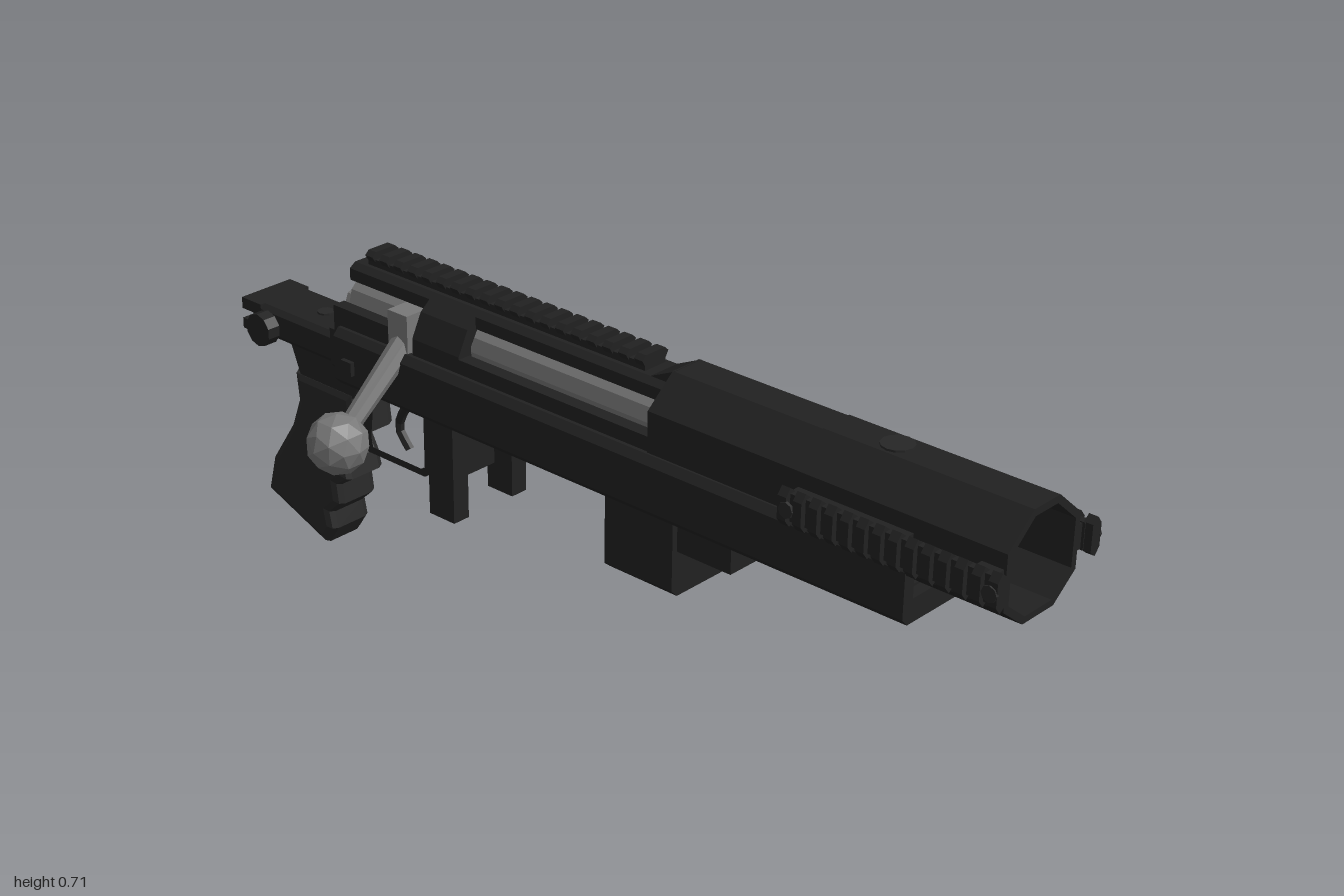
import * as THREE from 'three';

const mat = (name, color) => Object.assign(new THREE.MeshStandardMaterial({ color, flatShading: true }), { name });

export function createModel() {
  const black = mat('matte black', 0x212121);
  const rubber = mat('grip black', 0x272727);
  const steel = mat('bolt steel', 0x787878);
  const root = new THREE.Group();
  root.name = 'rifleChassis';
  root.position.z = -0.092; // everything below is relative to the bore plane
  const Y = 0.605;          // bore height

  const add = (name, geo, m = black, x = 0, y = 0, z = 0) => {
    const mesh = new THREE.Mesh(geo, m);
    mesh.name = name;
    mesh.position.set(x, y, z);
    root.add(mesh);
    return mesh;
  };
  const box = (name, x0, x1, y0, y1, z0, z1, m = black) =>
    add(name, new THREE.BoxGeometry(x1 - x0, y1 - y0, z1 - z0), m, (x0 + x1) / 2, (y0 + y1) / 2, (z0 + z1) / 2);
  const vecs = pts => pts.map(([a, b]) => new THREE.Vector2(a, b));
  // cross-section [z, y] swept along x
  const alongX = (name, pts, x0, x1, hole, m = black) => {
    const s = new THREE.Shape(vecs(pts.map(([z, y]) => [-z, y])));
    if (hole) s.holes.push(new THREE.Path(vecs(hole.map(([z, y]) => [-z, y]))));
    const g = new THREE.ExtrudeGeometry(s, { depth: x1 - x0, bevelEnabled: false });
    g.rotateY(Math.PI / 2);
    return add(name, g, m, x0);
  };
  // side outline [x, y] swept across z, centred, with optional bevel
  const alongZ = (name, pts, width, m = black, bevel = 0, hole = null) => {
    const s = new THREE.Shape(vecs(pts));
    if (hole) s.holes.push(new THREE.Path(vecs(hole)));
    const g = new THREE.ExtrudeGeometry(s, {
      depth: width - 2 * bevel, bevelEnabled: bevel > 0, bevelSize: bevel, bevelOffset: -bevel,
      bevelThickness: bevel, bevelSegments: 2,
    });
    return add(name, g, m, 0, 0, -width / 2 + bevel);
  };
  const mirror = half => [...half, ...half.slice().reverse().map(([z, y]) => [-z, y])];
  const ring = (r, n = 12) => Array.from({ length: n }, (_, i) => {
    const a = (i + 0.5) / n * Math.PI * 2;
    return [r * Math.cos(a), Y + r * Math.sin(a)];
  });
  const rod = (name, r, x0, x1, m, n = 12, y = Y, z = 0) => {
    const g = new THREE.CylinderGeometry(r, r, x1 - x0, n);
    g.rotateZ(Math.PI / 2);
    return add(name, g, m, (x0 + x1) / 2, y, z);
  };

  // Faceted handguard and receiver front
  const guard = mirror([[0.037, 0.718], [0.105, 0.66], [0.105, 0.55], [0.045, 0.503]]);
  const guardHole = guard.map(([z, y]) => [z * 0.87, Y + (y - Y) * 0.87]);
  alongX('handguard', guard, 0.535, 0.98, guardHole);
  const front = guard.map(([z, y]) => [z * 0.985, Y + (y - Y) * 0.985]);
  alongX('receiverFront', front, 0.185, 0.535, ring(0.066));
  alongZ('receiverRamp', [[0.11, 0.68], [0.19, 0.68], [0.19, 0.717]], 0.074);
  add('handguardTopHole', new THREE.CylinderGeometry(0.032, 0.032, 0.006, 12), rubber, 0.67, 0.719);

  // Rear receiver: closed bridge plus two sections open on the bolt side
  const bridge = mirror([[0.037, 0.69], [0.075, 0.66], [0.1, 0.61], [0.1, 0.525]]);
  alongX('receiverBridge', bridge, -0.44, -0.31, ring(0.068));
  const openWall = [[0.052, 0.68], [0.037, 0.69], [-0.037, 0.69], [-0.075, 0.66], [-0.1, 0.61], [-0.1, 0.53],
    [-0.07, 0.53], [-0.07, 0.61], [-0.055, 0.65], [-0.03, 0.67], [0.03, 0.67], [0.052, 0.655]];
  for (const [x0, x1] of [[-0.67, -0.44], [-0.31, 0.185]]) alongX('receiverWall', openWall, x0, x1);
  box('portLip', -0.31, 0.185, 0.53, 0.605, 0.071, 0.1);
  box('rearLip', -0.67, -0.51, 0.53, 0.615, 0.071, 0.1);

  // Lower chassis: trough, magazine opening, hollow fore-end
  const trough = mirror([[0.122, 0.56], [0.122, 0.467], [0.108, 0.452]]);
  const full = [[0.108, 0.575], ...trough, [-0.108, 0.575], [-0.095, 0.575], [-0.095, 0.5], [0.095, 0.5], [0.095, 0.575]];
  alongX('chassisRear', full, -0.65, -0.32);
  alongX('chassisMiddle', full, 0.17, 0.4);
  alongX('chassisFrontWall', full, 0.765, 0.79);
  for (const s of [1, -1]) {
    const wall = [[0.108, 0.575], [0.122, 0.56], [0.122, 0.467], [0.108, 0.452], [0.075, 0.452], [0.075, 0.53],
      [0.095, 0.53], [0.095, 0.575]].map(([z, y]) => [s * z, y]);
    alongX('chassisWall', wall, -0.32, 0.17);
    alongX('foreEndWall', wall, 0.4, 0.765);
    // magazine well cheeks
    box('rearMagCheek', -0.4, -0.33, 0.24, 0.46, s > 0 ? 0.062 : -0.103, s > 0 ? 0.103 : -0.062);
    box('frontMagCheek', 0.08, 0.18, 0.305, 0.46, s > 0 ? 0.073 : -0.103, s > 0 ? 0.103 : -0.073);
  }
  box('foreEndFloor', 0.4, 0.765, 0.497, 0.505, -0.095, 0.095);
  box('rearMagWall', -0.42, -0.38, 0.3, 0.46, -0.062, 0.062);
  alongX('frontMagBlock', mirror([[0.103, 0.46], [0.103, 0.308], [0.088, 0.293]]), 0.17, 0.25);
  for (const s of [1, -1]) {
    alongX('magCheekFoot', [[s * 0.073, 0.306], [s * 0.103, 0.306], [s * 0.088, 0.293], [s * 0.073, 0.293]], 0.08, 0.17);
  }
  box('frontMagStep', 0.25, 0.38, 0.388, 0.46, -0.09, 0.09);
  alongX('chassisTail', mirror([[0.1, 0.56], [0.1, 0.48], [0.08, 0.455]]), -0.685, -0.65);
  box('boltRelease', -0.665, -0.635, 0.56, 0.6, -0.143, -0.1);
  box('sideLatch', -0.62, -0.59, 0.49, 0.52, 0.1, 0.132);

  // Stock mount behind the receiver
  const mount = mirror([[0.055, 0.525], [0.067, 0.515], [0.067, 0.468], [0.055, 0.455]]);
  alongX('stockMount', mount, -0.94, -0.68);
  box('mountForkTop', -1, -0.94, 0.5, 0.525, -0.067, 0.067);
  box('mountForkBottom', -1, -0.94, 0.455, 0.478, -0.067, 0.067);
  box('mountForkWeb', -0.985, -0.94, 0.478, 0.5, -0.05, 0.05);
  const knob = new THREE.CylinderGeometry(0.036, 0.036, 0.03, 10).rotateX(Math.PI / 2);
  add('mountKnob', knob, black, -0.91, 0.487, 0.088);
  const stem = new THREE.CylinderGeometry(0.02, 0.02, 0.03, 8).rotateX(Math.PI / 2);
  add('mountKnobStem', stem, black, -0.91, 0.487, 0.068);
  add('mountTopScrew', new THREE.CylinderGeometry(0.018, 0.018, 0.006, 10), rubber, -0.81, 0.526);

  // Pistol grip with finger grooves
  alongZ('gripTang', [[-0.87, 0.46], [-0.84, 0.385], [-0.68, 0.385], [-0.64, 0.46]], 0.1);
  alongZ('pistolGrip', [[-0.86, 0.395], [-0.68, 0.395], [-0.668, 0.3], [-0.735, 0.262], [-0.715, 0.225], [-0.705, 0.185],
    [-0.738, 0.163], [-0.732, 0.118], [-0.765, 0.088], [-0.757, 0.05], [-0.785, 0.008], [-0.968, 0.078],
    [-0.945, 0.165], [-0.878, 0.265], [-0.853, 0.33]], 0.112, rubber, 0.018);

  // Trigger guard and trigger
  alongZ('triggerGuard', [[-0.69, 0.46], [-0.475, 0.46], [-0.475, 0.275], [-0.49, 0.263], [-0.66, 0.263], [-0.69, 0.3]],
    0.06, black, 0, [[-0.635, 0.425], [-0.49, 0.425], [-0.49, 0.285], [-0.5, 0.278], [-0.645, 0.278], [-0.65, 0.3]]);
  const bend = new THREE.CatmullRomCurve3([[-0.53, 0.43], [-0.575, 0.38], [-0.595, 0.33], [-0.565, 0.29]]
    .map(([x, y]) => new THREE.Vector3(x, y, 0)));
  add('trigger', new THREE.TubeGeometry(bend, 8, 0.01, 6), black);
  box('triggerHousing', -0.54, -0.42, 0.43, 0.47, -0.06, 0.06);
  box('magRelease', -0.475, -0.42, 0.3, 0.44, -0.03, 0.03);

  // Top accessory rail
  box('topRailBase', -0.64, 0.11, 0.68, 0.705, -0.028, 0.028);
  for (let i = 0; i < 19; i++) {
    const x = -0.64 + i * 0.0405;
    alongX('topRailTooth', mirror([[0.026, 0.721], [0.036, 0.712], [0.028, 0.699]]), x, x + 0.021);
  }

  // Side accessory rails, standing off the handguard
  for (const s of [1, -1]) {
    const bar = (a, b) => [s > 0 ? a : -b, s > 0 ? b : -a];
    for (const [x0, x1] of [[0.54, 0.79], [0.93, 0.975]]) box('sideRailMount', x0, x1, 0.58, 0.63, ...bar(0.1, 0.13));
    box('sideRailBase', 0.53, 0.98, 0.578, 0.632, ...bar(0.122, 0.138));
    for (let i = 0; i < 14; i++) {
      const x = 0.53 + i * 0.0343;
      const tooth = [[0.124, 0.632], [0.138, 0.643], [0.15, 0.628], [0.15, 0.582], [0.138, 0.567], [0.124, 0.578]];
      alongX('sideRailTooth', tooth.map(([z, y]) => [s * z, y]), x, x + 0.019);
    }
    for (const x of [0.555, 0.985]) {
      const screw = new THREE.CylinderGeometry(0.016, 0.016, 0.006, 8).rotateX(Math.PI / 2);
      add('sideRailScrew', screw, rubber, x - 0.005, 0.605, s * 0.15);
    }
  }

  // Bolt with handle and ball knob
  rod('boltBody', 0.057, -0.67, 0.17, steel);
  rod('boltNose', 0.045, 0.17, 0.2, steel, 8);
  rod('firingPin', 0.006, 0.2, 0.206, black, 8);
  rod('extractor', 0.011, 0.2, 0.206, black, 8, 0.612, -0.022);
  rod('boltTail', 0.035, -0.71, -0.67, steel, 8, 0.582);
  box('handleRoot', -0.505, -0.45, 0.56, 0.655, 0.03, 0.104, steel);
  const a = new THREE.Vector3(-0.478, 0.6, 0.07), b = new THREE.Vector3(-0.478, 0.43, 0.272);
  const arm = add('boltHandle', new THREE.CylinderGeometry(0.019, 0.027, a.distanceTo(b), 8), steel);
  arm.position.copy(a).add(b).multiplyScalar(0.5);
  arm.quaternion.setFromUnitVectors(new THREE.Vector3(0, 1, 0), b.clone().sub(a).normalize());
  add('boltKnob', new THREE.IcosahedronGeometry(0.064, 1), steel, b.x, b.y, b.z);

  const model = new THREE.Group();
  model.name = 'model';
  model.add(root);
  return model;
}
